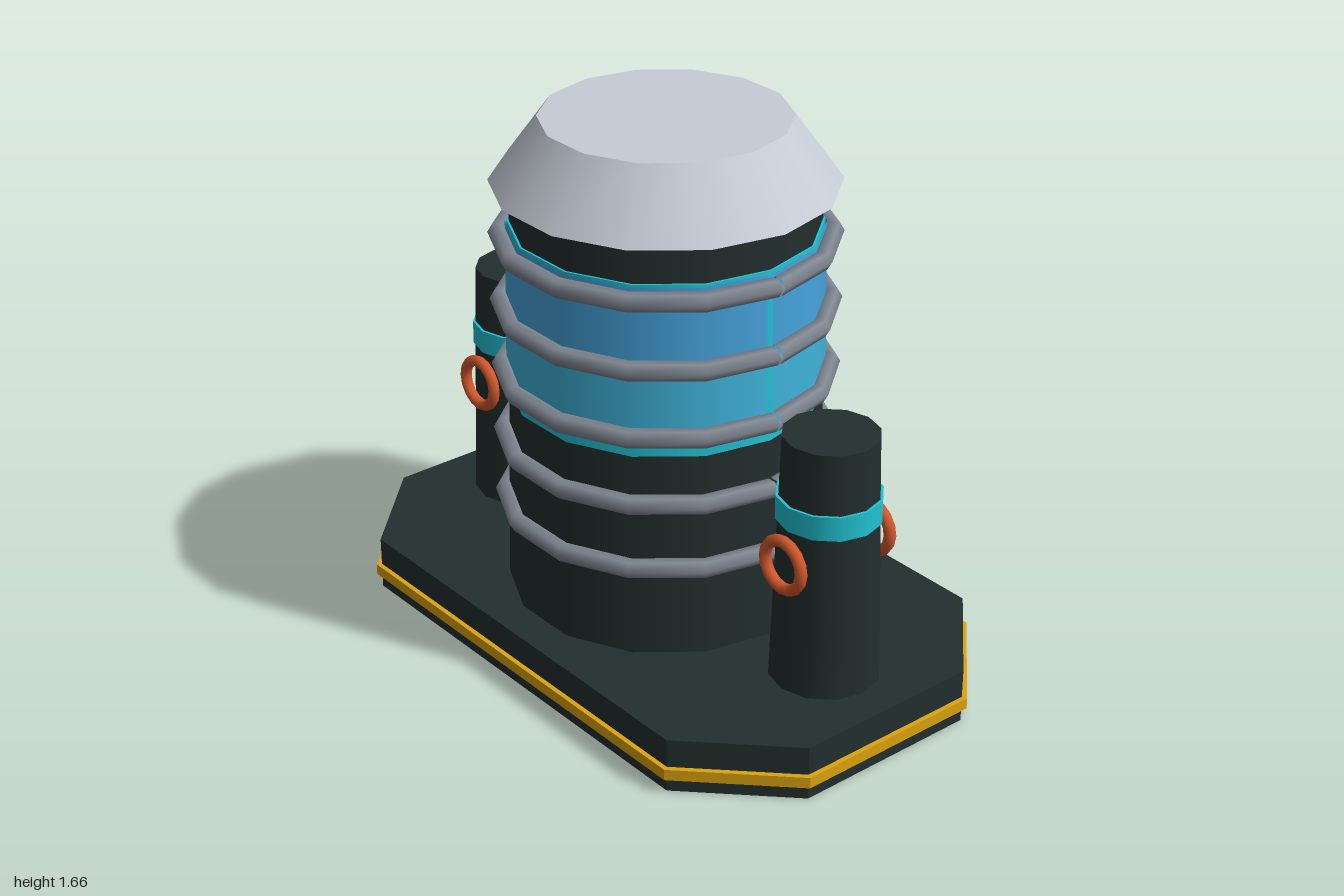
import * as THREE from 'three';

const mat = (name, color, side = THREE.FrontSide) => {
  const m = new THREE.MeshStandardMaterial({ color, side });
  m.name = name;
  return m;
};

export function createModel() {
  const dark = mat('dark metal', 0x232e2e);
  const silver = mat('silver', 0xc6ccd6);
  const steel = mat('steel grey', 0x808792, THREE.DoubleSide);
  const cyan = mat('cyan', 0x22c3d4);
  const blue = mat('blue glass', 0x45a3dc, THREE.DoubleSide);
  const aqua = mat('aqua glass', 0x3fb3da, THREE.DoubleSide);
  const orange = mat('orange', 0xd2582c);
  const yellow = mat('yellow', 0xdba40f);

  const model = new THREE.Group();
  model.name = 'reactor';
  const add = (name, geometry, material, parent = model) => {
    const mesh = new THREE.Mesh(geometry, material);
    mesh.name = name;
    parent.add(mesh);
    return mesh;
  };

  // Upright tapered drum between two heights, with a corner on the x axis
  const drum = (rBottom, rTop, y0, y1, sides) =>
    new THREE.CylinderGeometry(rTop, rBottom, y1 - y0, sides)
      .rotateY(Math.PI / 2).translate(0, (y0 + y1) / 2, 0);

  // Rectangular slab with cut corners
  const slab = (w, d, cx, cz, y0, y1) => {
    const pts = [[w, cz], [cx, d], [-cx, d], [-w, cz], [-w, -cz], [-cx, -d], [cx, -d], [w, -cz]];
    const shape = new THREE.Shape(pts.map(([x, z]) => new THREE.Vector2(x, z)));
    return new THREE.ExtrudeGeometry(shape, { depth: y1 - y0, bevelEnabled: false })
      .rotateX(-Math.PI / 2).translate(0, y0, 0);
  };

  // Base and its warning stripe
  add('base', slab(0.985, 0.58, 0.705, 0.3, 0, 0.17), dark);
  add('baseStripe', slab(1, 0.595, 0.712, 0.307, 0.046, 0.081), yellow);

  // Central core
  add('coreBody', drum(0.48, 0.45, 0.17, 1.47, 14), dark);
  add('coreGlow', drum(0.467, 0.459, 0.815, 1.345, 14), cyan);
  add('coreCap', drum(0.51, 0.367, 1.47, 1.665, 14), silver);

  // Glass halves, leaving a narrow glowing seam on each side
  const bands = [
    ['lowerGlass', 0.87, 1.095, 0.472, 0.468, aqua],
    ['upperGlass', 1.095, 1.338, 0.468, 0.464, blue],
  ];
  for (const [name, y0, y1, rBottom, rTop, material] of bands) {
    for (const start of [Math.PI / 2, Math.PI * 1.5]) {
      const half = new THREE.CylinderGeometry(rTop, rBottom, y1 - y0, 7, 1, true, start, 3.1);
      add(name, half, material).position.y = (y0 + y1) / 2;
    }
  }

  // Coil rings, each made of two halves
  for (const y of [0.46, 0.67, 0.884, 1.095, 1.306]) {
    for (const turn of [0, Math.PI]) {
      const half = new THREE.TorusGeometry(0.486, 0.029, 6, 7, 3.125)
        .rotateX(-Math.PI / 2).rotateY(turn);
      add('coilRing', half, steel).position.y = y;
    }
  }

  // Side pylons with a cyan band and a ring on the front and back
  for (const side of [-1, 1]) {
    const pylon = new THREE.Group();
    pylon.name = side > 0 ? 'leftPylon' : 'rightPylon';
    pylon.position.x = side * 0.717;
    model.add(pylon);
    add('pylonBody', drum(0.165, 0.141, 0.17, 0.945, 12), dark, pylon);
    add('pylonBand', drum(0.155, 0.155, 0.685, 0.76, 12), cyan, pylon);
    for (const z of [-0.17, 0.17]) {
      add('pylonRing', new THREE.TorusGeometry(0.075, 0.018, 8, 16), orange, pylon)
        .position.set(0, 0.583, z);
    }
  }
  return model;
}
